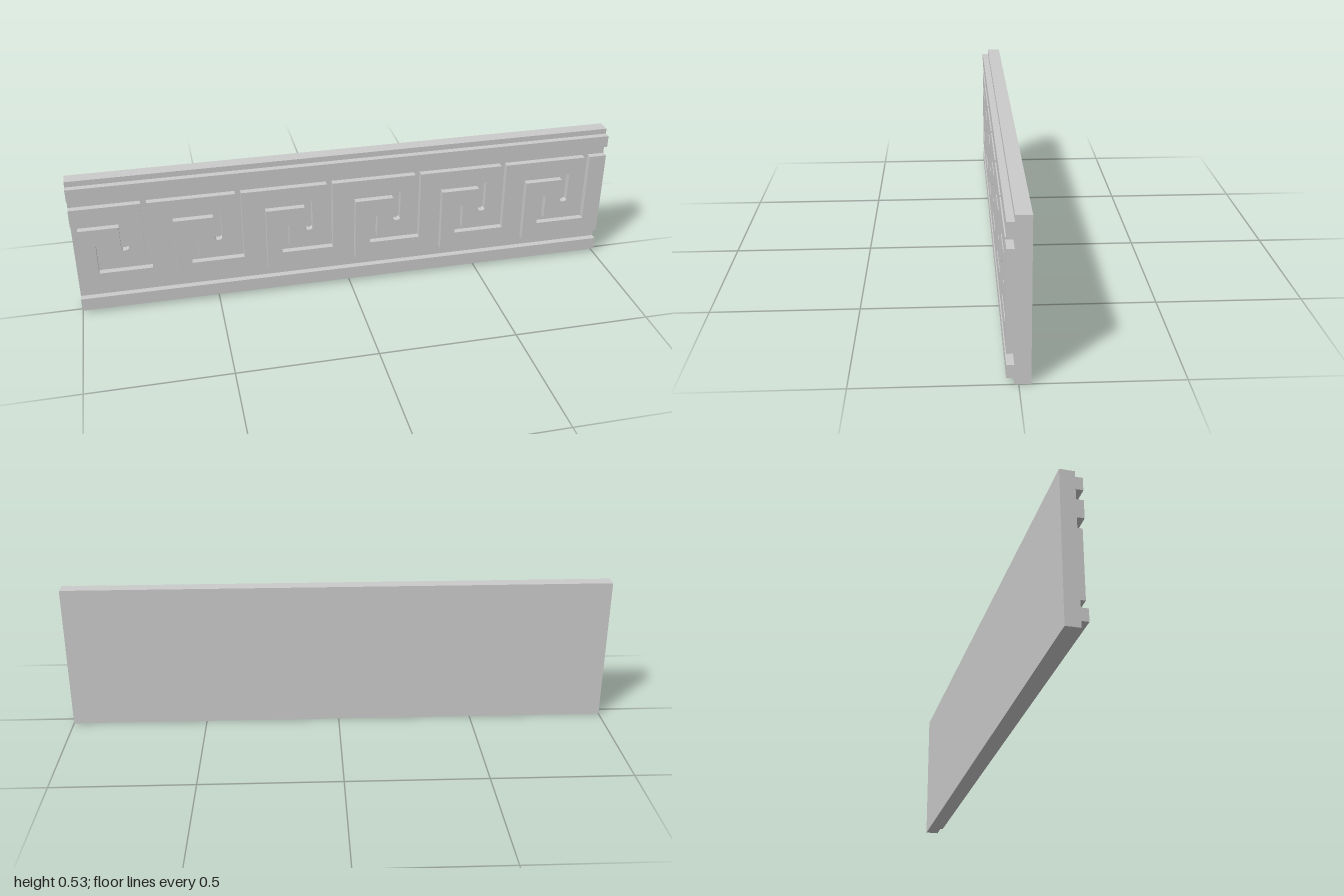
import * as THREE from 'three';

const HEIGHT = 0.533, BACK = -0.037, FACE = 0.013, FRONT = 0.037;
const MID = 0.267, HALF_BAND = 0.165, UNITS = 6;

// One hooked groove entering from the top edge, relative to its unit's centre.
// Turned by 180 degrees it is the groove entering from the bottom edge.
const HOOK = [
  [0.113, HALF_BAND], [0.113, -0.079], [-0.03, -0.079],
  [-0.03, 0.01], [-0.036, 0.016], [-0.051, 0.016], [-0.057, 0.01],
  [-0.057, -0.101], [0.134, -0.101], [0.134, HALF_BAND],
];

export function createModel() {
  const group = new THREE.Group();
  const material = new THREE.MeshStandardMaterial({ color: 0xcccccc, flatShading: true });

  const add = (name, geometry) => {
    const mesh = new THREE.Mesh(geometry, material);
    mesh.name = name;
    group.add(mesh);
  };
  // Full-length bar between two heights and two depths
  const bar = (name, y0, y1, z0, z1) => {
    const geometry = new THREE.BoxGeometry(2, y1 - y0, z1 - z0);
    geometry.translate(0, (y0 + y1) / 2, (z0 + z1) / 2);
    add(name, geometry);
  };

  bar('backSlab', 0, HEIGHT, BACK, FACE);
  bar('lowerRail', 0.022, 0.065, FACE, FRONT);
  bar('upperRail', 0.468, 0.513, FACE, FRONT);

  // Meander band: a single outline, notched along the top, then back along the bottom
  const centre = k => -0.866 + k / 3;
  const outline = [[-1, MID + HALF_BAND]];
  for (let k = 0; k < UNITS; k++) {
    for (const [x, y] of HOOK) outline.push([centre(k) + x, MID + y]);
  }
  outline.push([1, MID + HALF_BAND], [1, MID - HALF_BAND]);
  for (let k = UNITS - 1; k >= 0; k--) {
    // the first unit's groove is open at the left end of the panel
    const hook = k === 0 ? HOOK.slice(0, -1) : HOOK;
    for (const [x, y] of hook) outline.push([centre(k) - x, MID - y]);
  }
  const shape = new THREE.Shape(outline.map(([x, y]) => new THREE.Vector2(x, y)));
  const meander = new THREE.ExtrudeGeometry(shape, { depth: FRONT - FACE, bevelEnabled: false });
  meander.translate(0, 0, FACE);
  add('meanderBand', meander);

  return group;
}
